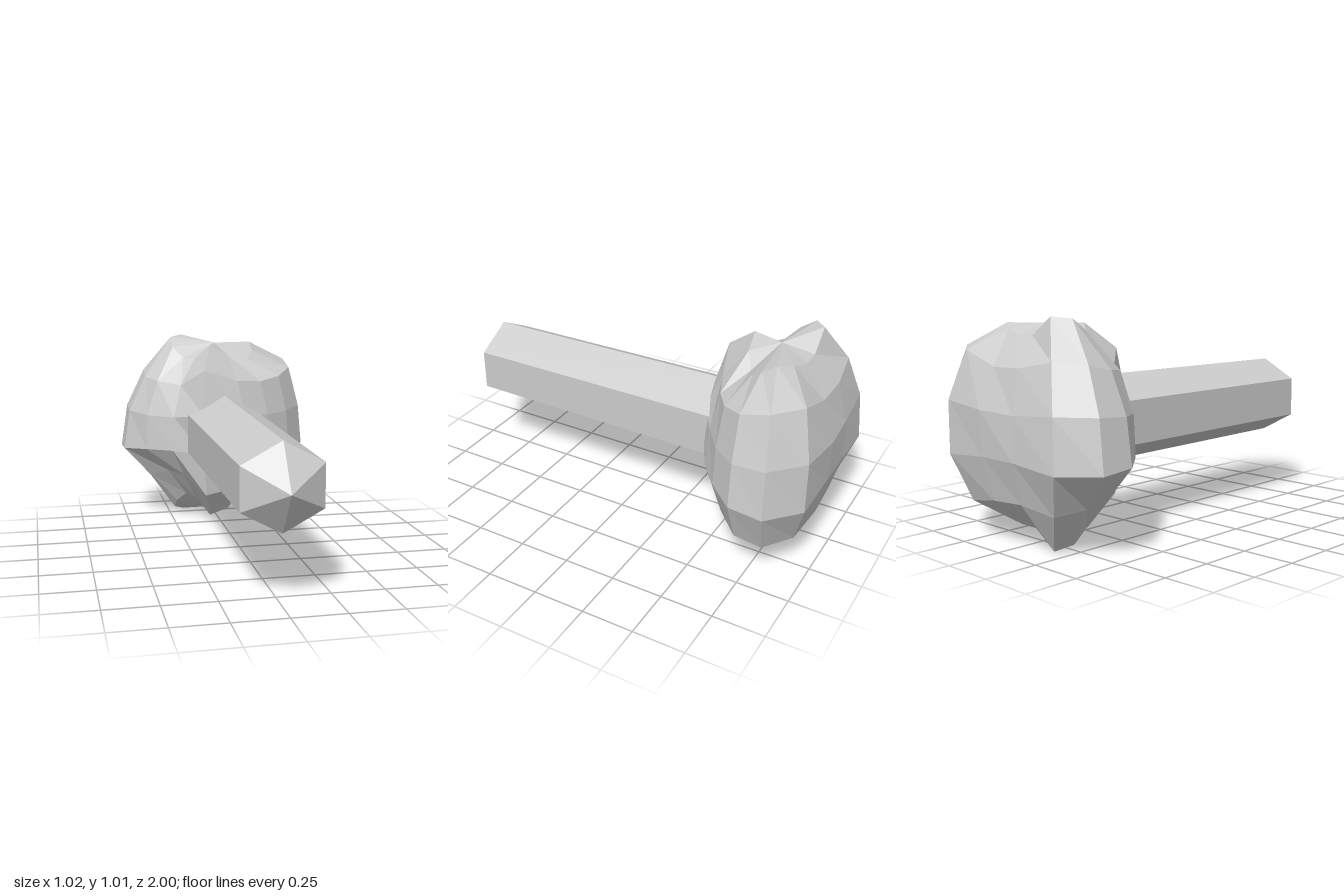
import * as THREE from 'three';

const grey = new THREE.MeshStandardMaterial({ color: 0xcccccc, flatShading: true });
grey.name = 'plain grey';

// Bulge of the head per ring (top to bottom); each row runs from the left side
// round the front to the right side, then back round the rear.
const BULGE = [
  [1.0, 0.9, 0.84, 0.98, 1.1, 0.93, 0.93, 1.06, 1.18, 1.2, 1.0, 1.0, 1.05, 1.1],
  [1.1, 0.98, 0.92, 0.96, 1.19, 0.88, 0.94, 0.99, 1.08, 1.12, 1.0, 0.98, 1.19, 1.22],
  [1.0, 0.88, 0.85, 1.0, 1.1, 0.85, 0.89, 0.975, 1.08, 1.12, 0.95, 1.0, 1.18, 1.12],
  [1.04, 0.91, 0.9, 1.0, 1.0, 0.88, 0.91, 1.04, 1.16, 1.18, 0.97, 0.97, 1.18, 1.16],
  [1.08, 0.95, 0.82, 1.03, 1.14, 0.82, 0.78, 0.92, 1.0, 1.1, 1.0, 1.03, 1.15, 1.17],
  [0.95, 0.81, 0.88, 1.05, 1.13, 0.92, 0.88, 1.0, 1.13, 1.2, 1.0, 1.0, 1.0, 1.03],
];

// Lumpy low-poly head
function makeHead() {
  const geo = new THREE.SphereGeometry(1, 14, 7);
  const pos = geo.attributes.position;
  for (let i = 0; i < pos.count; i++) {
    const column = (21 - (i % 15)) % 14;
    const row = Math.floor(i / 15);
    const f = row === 0 || row === 7 ? 1 : BULGE[row - 1][column];
    pos.setXYZ(i, pos.getX(i) * 0.5 * f, pos.getY(i) * 0.468 * f, pos.getZ(i) * 0.33 * f);
  }
  geo.computeVertexNormals();
  const head = new THREE.Mesh(geo, grey);
  head.name = 'head';
  head.position.set(0, 0.512, -0.69);
  return head;
}

// Six-sided tapered shaft with a pointed end
function makeShaft() {
  const profile = [[0, -0.6], [0.208, -0.6], [0.197, 0.86], [0, 1.0]]
    .map(([r, z]) => new THREE.Vector2(r, z));
  const geo = new THREE.LatheGeometry(profile, 6);
  geo.rotateX(Math.PI / 2);
  geo.scale(1.07, 1, 1);
  const shaft = new THREE.Mesh(geo, grey);
  shaft.name = 'shaft';
  shaft.position.y = 0.519;
  return shaft;
}

export function createModel() {
  const group = new THREE.Group();
  group.name = 'mallet';
  group.add(makeHead(), makeShaft());
  return group;
}
